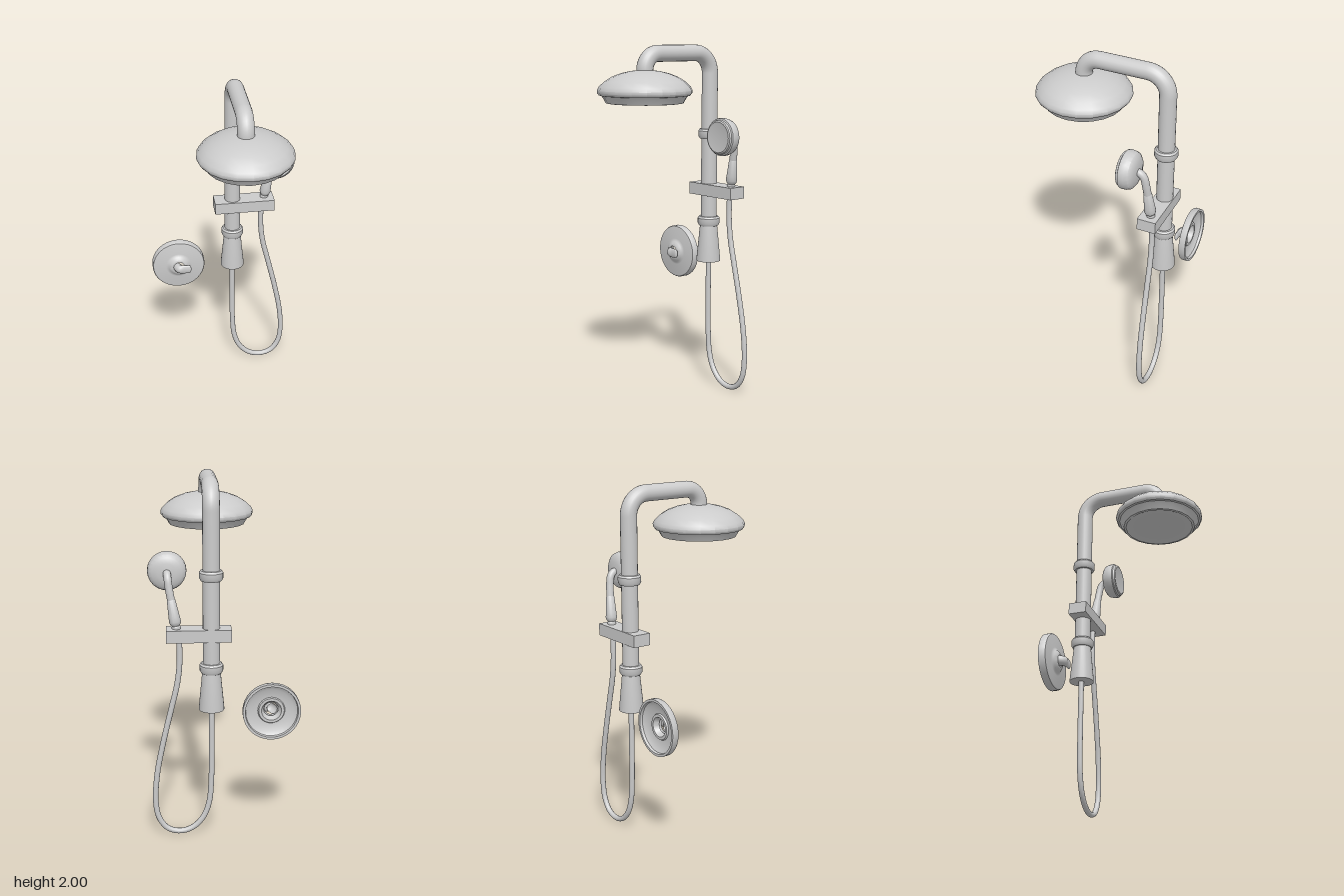
import * as THREE from 'three';
import { toCreasedNormals } from 'three/addons/utils/BufferGeometryUtils.js';

const V = (x, y, z) => new THREE.Vector3(x, y, z);
const material = new THREE.MeshStandardMaterial({ color: 0xcccccc, side: THREE.DoubleSide });

export function createModel() {
  const model = new THREE.Group();
  const px = 0.07, pz = -0.332; // riser axis

  function add(name, geometry, x = 0, y = 0, z = 0) {
    const mesh = new THREE.Mesh(geometry, material);
    mesh.name = name;
    mesh.position.set(x, y, z);
    model.add(mesh);
    return mesh;
  }
  // Turned part from [radius, height] pairs, listed bottom to top
  function turned(profile, sides = 24, crease = 0.6) {
    const points = profile.map(([r, h]) => new THREE.Vector2(r, h));
    return toCreasedNormals(new THREE.LatheGeometry(points, sides), crease);
  }
  const facingFront = (geometry) => geometry.rotateX(Math.PI / 2);

  // Riser and overhead arm in one bent pipe
  const pipe = new THREE.CurvePath();
  const corner = (a, b, c, k = 0.56) => new THREE.CubicBezierCurve3(
    a, a.clone().lerp(b, k), c.clone().lerp(b, k), c);
  const top = 1.954, bend = 0.115, headZ = 0.145;
  pipe.add(new THREE.LineCurve3(V(px, 0.95, pz), V(px, top - bend, pz)));
  pipe.add(corner(V(px, top - bend, pz), V(px, top, pz), V(px, top, pz + bend)));
  pipe.add(new THREE.LineCurve3(V(px, top, pz + bend), V(px, top, headZ - 0.09)));
  pipe.add(corner(V(px, top, headZ - 0.09), V(px, top, headZ), V(px, top - 0.09, headZ)));
  pipe.add(new THREE.LineCurve3(V(px, top - 0.09, headZ), V(px, 1.84, headZ)));
  add('riserPipe', new THREE.TubeGeometry(pipe, 120, 0.046, 20));

  // Domed overhead shower, with a recessed spray plate
  add('overheadShower', turned([
    [0, 1.692], [0.19, 1.692], [0.2, 1.686], [0.213, 1.688], [0.228, 1.715], [0.238, 1.728],
    [0.25, 1.73], [0.259, 1.742], [0.26, 1.757], [0.25, 1.777], [0.22, 1.805],
    [0.18, 1.83], [0.13, 1.849], [0.08, 1.86], [0.04, 1.864], [0, 1.865],
  ], 20), px, 0, headZ);

  // Collars on the riser
  for (const y of [1.495, 0.985]) {
    add('riserCollar', turned([
      [0.045, -0.028], [0.056, -0.028], [0.064, -0.014], [0.064, 0.016], [0.056, 0.027], [0.045, 0.027],
    ]), px, y, pz);
  }
  // Flared foot of the riser
  add('riserFoot', turned([
    [0, 0.746], [0.07, 0.746], [0.07, 0.755], [0.05, 0.96], [0, 0.96],
  ]), px, 0, pz);

  // Sliding bracket that carries the hand shower
  add('bracket', new THREE.BoxGeometry(0.35, 0.068, 0.106), 0.137, 1.172, -0.328);

  // Hand shower head
  add('handShowerHead', facingFront(turned([
    [0, -0.277], [0.05, -0.276], [0.08, -0.268], [0.097, -0.255], [0.104, -0.235],
    [0.106, -0.212], [0.104, -0.202], [0.096, -0.198], [0.093, -0.187],
    [0.085, -0.183], [0.075, -0.185], [0, -0.185],
  ])), 0.302, 1.497, 0);

  // Curved neck behind the head
  add('handShowerNeck', new THREE.TubeGeometry(new THREE.CatmullRomCurve3([
    V(0.302, 1.495, -0.26), V(0.302, 1.492, -0.285), V(0.299, 1.47, -0.305),
    V(0.293, 1.42, -0.315), V(0.281, 1.35, -0.322),
  ]), 28, 0.021, 16));

  // Tapered grip, leaning along the neck
  const foot = V(0.256, 1.2, -0.332), gripTop = V(0.283, 1.365, -0.321);
  const grip = add('handShowerGrip', turned([
    [0, 0], [0.022, 0], [0.024, 0.015], [0.021, 0.022], [0.028, 0.03],
    [0.032, 0.045], [0.03, 0.07], [0.023, 0.16], [0.019, 0.167], [0, 0.167],
  ], 20), foot.x, foot.y, foot.z);
  grip.quaternion.setFromUnitVectors(V(0, 1, 0), gripTop.clone().sub(foot).normalize());

  // Hanging hose loop
  const hosePath = [
    [0.252, 1.2], [0.243, 1.13], [0.243, 1.0], [0.257, 0.89], [0.288, 0.76], [0.338, 0.55],
    [0.374, 0.36], [0.384, 0.2], [0.366, 0.1], [0.32, 0.037], [0.25, 0.016], [0.178, 0.037],
    [0.118, 0.1], [0.085, 0.19], [0.073, 0.32], [0.07, 0.5], [0.07, 0.76],
  ].map(([x, y]) => V(x, y, -0.334));
  add('hose', new THREE.TubeGeometry(new THREE.CatmullRomCurve3(hosePath), 110, 0.0155, 12));

  // Mixer valve: hollow wall plate with a stepped boss, open at the back
  const vx = -0.255, vy = 0.744;
  add('valvePlate', facingFront(turned([
    [0.142, -0.385], [0.145, -0.4], [0.159, -0.4], [0.159, -0.367], [0.155, -0.36],
    [0.146, -0.357], [0.08, -0.357], [0.068, -0.354], [0.062, -0.348], [0.048, -0.337],
    [0.044, -0.335], [0.034, -0.335],
  ], 32)), vx, vy, 0);
  // Hollow inner side of the plate
  add('valvePlateInside', facingFront(turned([
    [0.142, -0.385], [0.12, -0.37], [0.075, -0.366], [0.07, -0.375], [0.055, -0.375], [0.04, -0.345],
  ], 32)), vx, vy, 0);

  // Lever: a round stem that turns sideways into a flattened handle
  const lever = new THREE.TubeGeometry(new THREE.CatmullRomCurve3([
    V(-0.008, 0, -0.35), V(-0.004, 0, -0.33), V(0.01, 0, -0.315), V(0.035, 0, -0.308), V(0.06, 0, -0.307),
  ]), 24, 0.028, 16);
  // Thin the tube front to back as it leaves the stem
  const p = lever.attributes.position;
  for (let i = 0; i < p.count; i++) {
    const t = THREE.MathUtils.smoothstep(p.getX(i), -0.02, 0.035);
    p.setZ(i, THREE.MathUtils.lerp(p.getZ(i), -0.307 + (p.getZ(i) + 0.307) * 0.36, t));
  }
  lever.computeVertexNormals();
  add('valveLever', lever, vx, vy, 0);
  // Rounded lever tip
  const tip = add('valveLeverTip', new THREE.SphereGeometry(0.028, 16, 10), vx + 0.06, vy, -0.307);
  tip.scale.set(0.4, 1, 0.36);

  return model;
}
